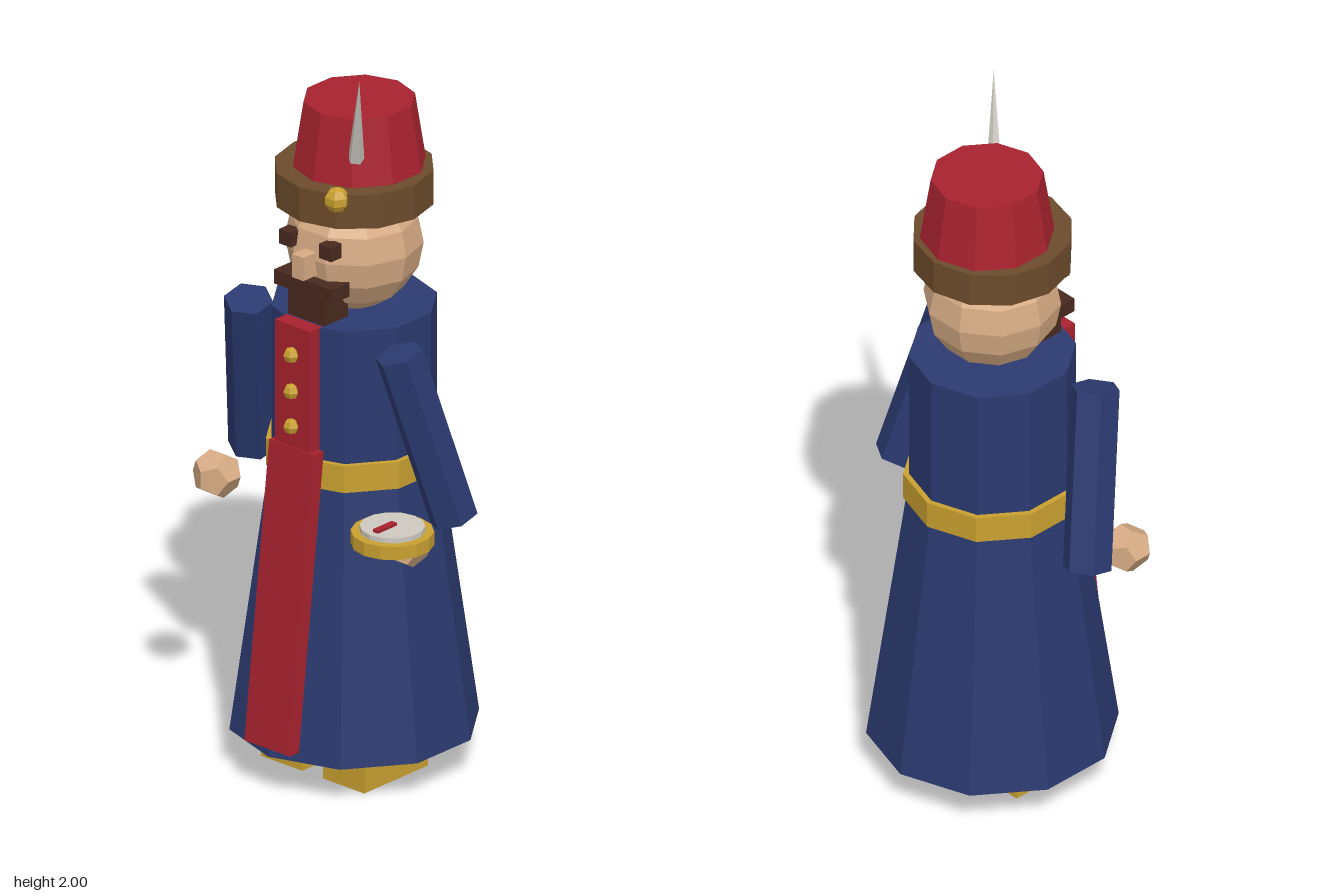
import * as THREE from 'three';

export function createModel() {
  const root = new THREE.Group();
  root.name = 'uniformedFigure';

  const mat = (name, color) => {
    const m = new THREE.MeshStandardMaterial({ color, flatShading: true });
    m.name = name;
    return m;
  };
  const blue = mat('coatBlue', 0x2b3a70);
  const red = mat('red', 0xa8222e);
  const gold = mat('gold', 0xc9a030);
  const skin = mat('skin', 0xd6ab84);
  const fur = mat('furBrown', 0x6c4b2b);
  const hair = mat('hairBrown', 0x482a1f);
  const silver = mat('silver', 0xcdc9c0);

  const add = (name, geo, material, x, y, z) => {
    const m = new THREE.Mesh(geo, material);
    m.name = name;
    m.position.set(x, y, z);
    root.add(m);
    return m;
  };
  // Box given by its extents
  const box = (name, material, x0, x1, y0, y1, z0, z1) =>
    add(name, new THREE.BoxGeometry(x1 - x0, y1 - y0, z1 - z0), material,
      (x0 + x1) / 2, (y0 + y1) / 2, (z0 + z1) / 2);
  // Upright faceted drum between two heights
  const drum = (name, material, rTop, rBottom, y0, y1, sides, x, z) =>
    add(name, new THREE.CylinderGeometry(rTop, rBottom, y1 - y0, sides), material, x, (y0 + y1) / 2, z);
  // Faceted rod from point a (bottom) to point b (top)
  const rod = (name, material, rTop, rBottom, sides, a, b) => {
    const A = new THREE.Vector3(...a), B = new THREE.Vector3(...b);
    const dir = B.clone().sub(A);
    const c = A.clone().add(B).multiplyScalar(0.5);
    const m = add(name, new THREE.CylinderGeometry(rTop, rBottom, dir.length(), sides), material, c.x, c.y, c.z);
    m.quaternion.setFromUnitVectors(new THREE.Vector3(0, 1, 0), dir.normalize());
    return m;
  };

  const CX = -0.034, CZ = -0.018; // body axis

  // Coat
  drum('skirt', blue, 0.215, 0.328, 0.105, 0.905, 10, CX, CZ);
  drum('torso', blue, 0.217, 0.217, 0.88, 1.285, 10, CX, CZ);
  drum('belt', gold, 0.232, 0.232, 0.84, 0.915, 10, CX, CZ);

  // Front panels: straight on the chest, sloped on the skirt
  box('chestPanel', red, -0.097, 0.026, 0.9, 1.285, 0.17, 0.216);
  const slope = new THREE.Shape([
    [0.315, 0.13], [0.22, 0.945], [0.185, 0.945], [0.28, 0.13],
  ].map(([z, y]) => new THREE.Vector2(-z, y)));
  const panel = add('skirtPanel',
    new THREE.ExtrudeGeometry(slope, { depth: 0.158, bevelEnabled: false }), red, CX - 0.079, 0, 0);
  panel.rotation.y = Math.PI / 2;

  // Buttons
  for (const y of [1.205, 1.103, 1.005])
    add('button', new THREE.SphereGeometry(0.022, 6, 4), gold, CX, y, 0.222);

  // Boots, arms and hands, mirrored about the body axis
  for (const s of [-1, 1]) {
    const side = s > 0 ? 'left' : 'right';
    add(side + 'Boot', new THREE.BoxGeometry(0.143, 0.125, 0.243), gold, CX + s * 0.108, 0.0625, 0.019);
    rod(side + 'Arm', blue, 0.065, 0.065, 6,
      [CX + s * 0.35, 0.775, -0.015], [CX + s * 0.262, 1.245, 0.098]);
    add(side + 'Hand', new THREE.DodecahedronGeometry(0.066), skin, CX + s * 0.33, 0.75, 0.145);
  }

  // Head and face
  add('head', new THREE.SphereGeometry(0.18, 10, 8), skin, CX, 1.453, CZ);
  for (const s of [-1, 1])
    add('eye', new THREE.BoxGeometry(0.042, 0.04, 0.04), hair, CX + s * 0.07, 1.495, 0.15);
  box('nose', skin, CX - 0.02, CX + 0.02, 1.41, 1.475, 0.13, 0.198);
  box('moustache', hair, CX - 0.1, CX + 0.1, 1.362, 1.402, 0.11, 0.178);
  box('beard', hair, CX - 0.063, CX + 0.063, 1.28, 1.37, 0.075, 0.166);

  // Hat with badge and plume
  drum('furBand', fur, 0.209, 0.209, 1.57, 1.665, 12, CX, CZ);
  drum('hatCrown', red, 0.1465, 0.177, 1.65, 1.845, 10, CX, -0.037);
  add('hatBadge', new THREE.SphereGeometry(0.034, 6, 5), gold, 0.066, 1.65, 0.158);
  rod('plume', silver, 0, 0.022, 5, [0.067, 1.74, 0.086], [0.137, 2.0, 0.15]);

  // Hand-held dial
  const DX = 0.327, DZ = 0.232;
  drum('dialCase', gold, 0.108, 0.108, 0.785, 0.822, 14, DX, DZ);
  drum('dialFace', silver, 0.085, 0.085, 0.815, 0.836, 14, DX, DZ);
  box('dialNeedle', red, DX - 0.009, DX + 0.009, 0.835, 0.844, 0.225, 0.297);

  return root;
}
